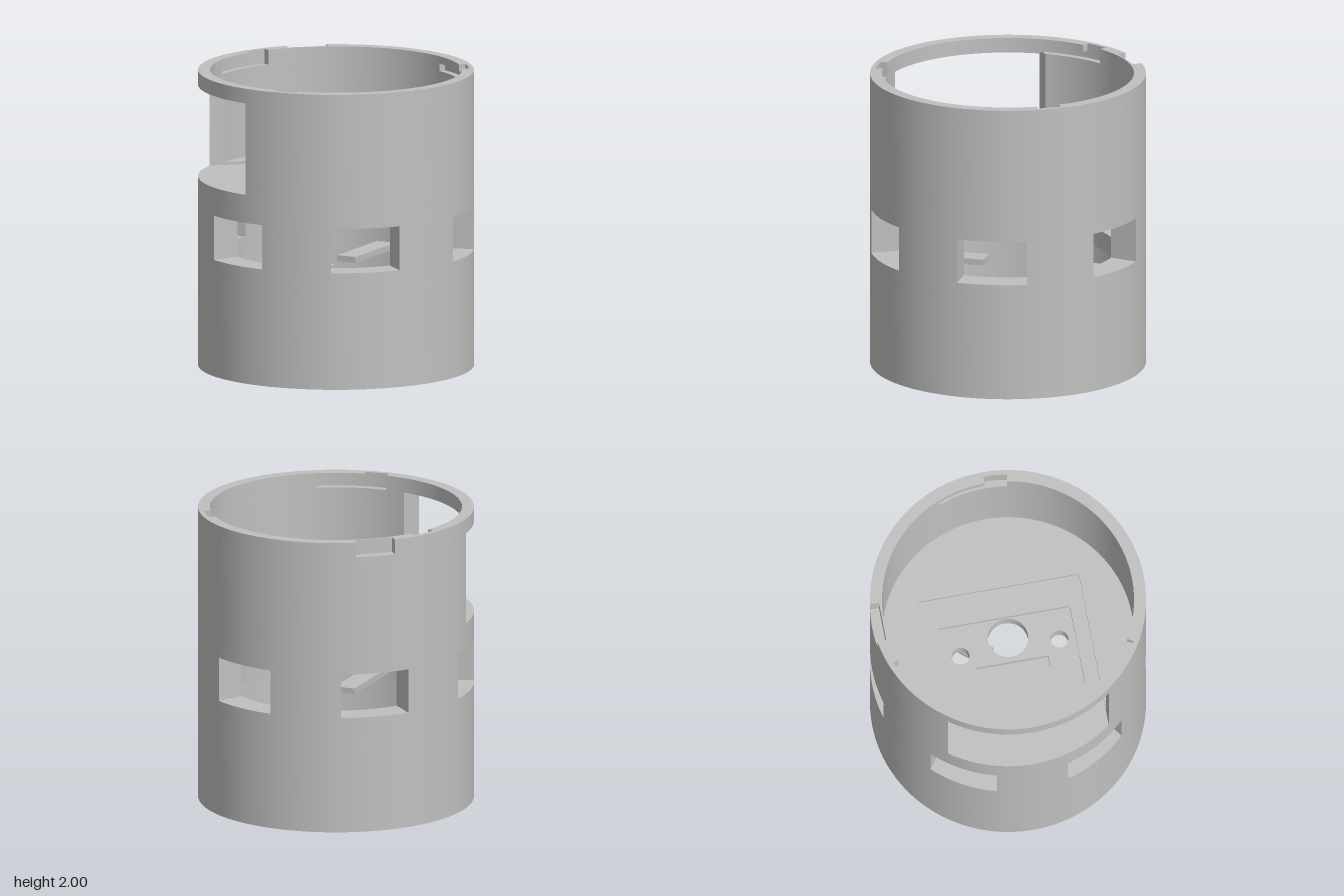
import * as THREE from 'three';
import { toCreasedNormals } from 'three/addons/utils/BufferGeometryUtils.js';

const R = 0.92, BORE = 0.84, NECK = 0.73;
const rad = THREE.MathUtils.degToRad;

export function createModel() {
  const group = new THREE.Group();
  const grey = new THREE.MeshStandardMaterial({ color: 0xc0c0c0 });
  grey.name = 'grey';

  // Plan shapes use (x, z); each is extruded between two heights
  function layer(name, shape, y0, y1) {
    let geo = new THREE.ExtrudeGeometry(shape, { depth: y1 - y0, bevelEnabled: false, curveSegments: 72 });
    geo.rotateX(Math.PI / 2);
    geo.translate(0, y1, 0);
    geo = toCreasedNormals(geo, rad(20));
    const mesh = new THREE.Mesh(geo, grey);
    mesh.name = name;
    group.add(mesh);
    return mesh;
  }
  const circle = (r, x = 0, z = 0) => new THREE.Path().absarc(x, z, r, 0, Math.PI * 2, false);
  const rect = (x0, x1, z0, z1) => new THREE.Path([[x0, z0], [x1, z0], [x1, z1], [x0, z1]].map(p => new THREE.Vector2(...p)).concat(new THREE.Vector2(x0, z0)));
  function disc(...holes) {
    const s = new THREE.Shape();
    s.absarc(0, 0, R, 0, Math.PI * 2, false);
    s.holes.push(...holes);
    return s;
  }
  // Ring piece whose ends may be cut at different angles outside and inside
  function sector(rIn, outA, outB, inA, inB) {
    const s = new THREE.Shape();
    s.absarc(0, 0, R, outA, outB, false);
    s.absarc(0, 0, rIn, inB, inA, true);
    s.closePath();
    return s;
  }

  // Lower tube and thicker window band
  layer('lowerTube', disc(circle(BORE)), 0, 0.67);
  layer('windowSill', disc(circle(NECK)), 0.67, 0.79);
  const outHalf = Math.asin(0.235 / R), inHalf = Math.asin(0.212 / NECK);
  for (let i = 0; i < 6; i++) {
    const a = rad(30 + 60 * i), b = a + rad(60);
    layer('windowPillar', sector(NECK, a + outHalf, b - outHalf, a + inHalf, b - inHalf), 0.79, 1.09);
  }
  layer('windowHead', disc(circle(NECK)), 1.09, 1.17);

  // Spokes under the floor
  for (const a of [130, 310]) {
    const g = new THREE.BoxGeometry(0.6, 0.04, 0.14);
    g.translate(0.45, 0.69, 0);
    g.rotateY(-rad(a));
    const spoke = new THREE.Mesh(g, grey);
    spoke.name = 'spoke';
    group.add(spoke);
  }

  // Floor with holes, slot and stepped recesses
  const drill = () => [circle(0.135), circle(0.06, -0.07, -0.335), circle(0.06, -0.07, 0.335)];
  layer('floorBase', disc(...drill()), 1.17, 1.22);
  layer('slottedFloor', disc(...drill(), rect(-0.25, -0.17, -0.245, 0.24)), 1.22, 1.255);
  layer('recessFloor', disc(rect(-0.42, 0.14, -0.45, 0.445)), 1.255, 1.28);
  const cutOut = Math.PI - Math.asin(0.545 / R), cutIn = Math.PI - Math.asin(0.545 / BORE);
  const step = new THREE.Shape();
  step.absarc(0, 0, R, -cutOut, cutOut, false);
  step.lineTo(0.345, 0.545);
  step.lineTo(0.345, -0.545);
  step.closePath();
  layer('upperFloor', step, 1.28, 1.3);

  // Upper wall with the side opening
  layer('upperWall', sector(BORE, -cutOut, cutOut, -cutIn, cutIn), 1.3, 1.9);

  // Top rim: back notch outside, three bayonet slots inside
  function rim(sweep) {
    const s = new THREE.Shape();
    const n = Math.asin(0.135 / R);
    s.absarc(0, 0, R, -Math.PI / 2 + n, Math.PI * 1.5 - n, false);
    s.lineTo(-0.135, -0.85);
    s.lineTo(0.135, -0.85);
    s.closePath();
    const inner = new THREE.Path();
    for (const c of [5, 125, 245]) {
      const a = rad(c - 5.2 - sweep), b = rad(c + 5.2);
      inner.absarc(0, 0, 0.887, a, b, false);
      inner.absarc(0, 0, BORE, b, rad(c + 120 - 5.2 - sweep), false);
    }
    inner.closePath();
    s.holes.push(inner);
    return s;
  }
  layer('grooveRim', rim(22), 1.9, 1.95);
  layer('topRim', rim(0), 1.95, 2);
  return group;
}
